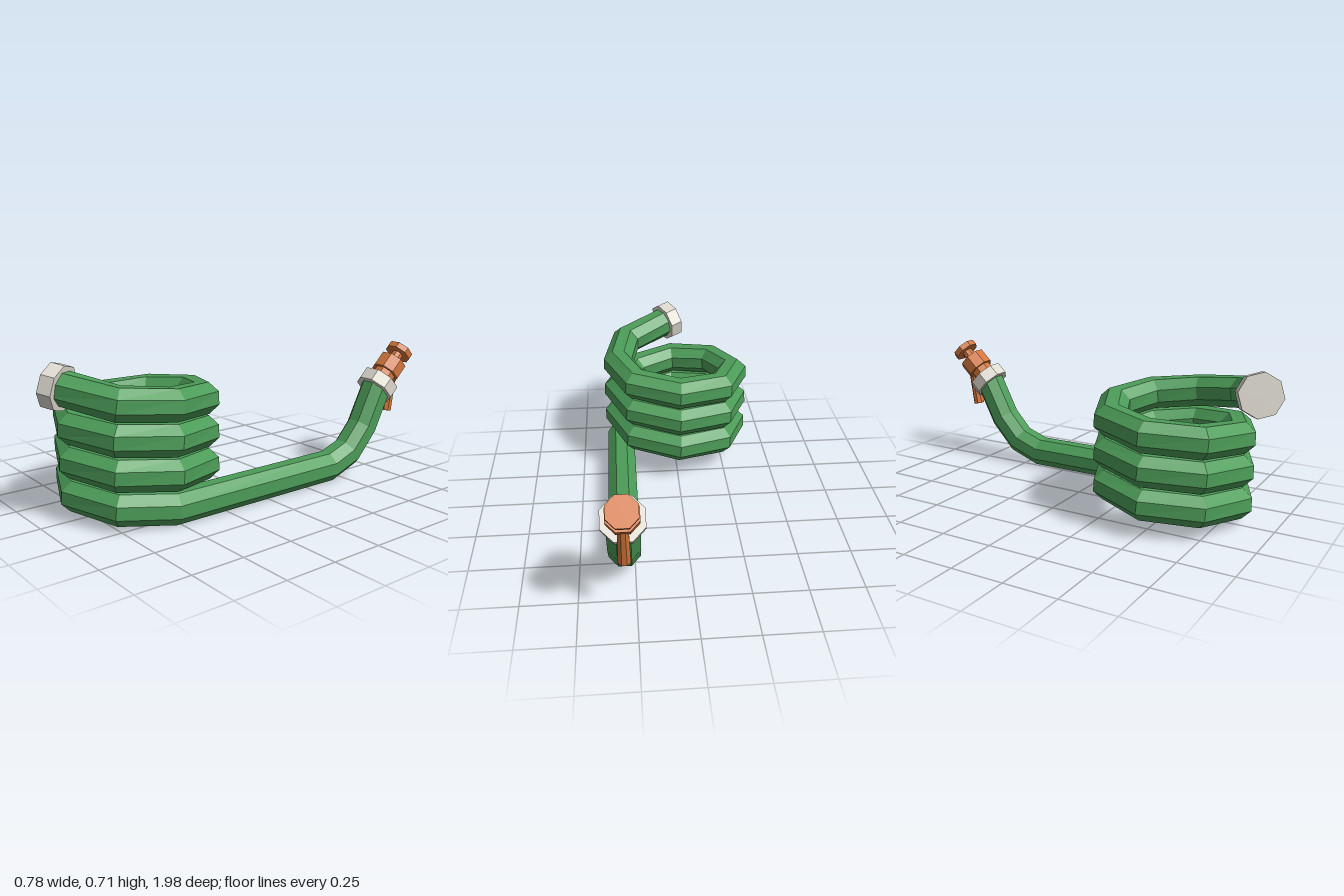
import * as THREE from 'three';

const V = (x, y, z) => new THREE.Vector3(x, y, z);
const paint = (color) => new THREE.MeshStandardMaterial({ color, flatShading: true });
const UP = V(0, 1, 0);

// Octagonal pipe with mitred corners along a polyline
function pipe(path, radius, sides) {
  const pos = [], index = [];
  path.forEach((p, i) => {
    const next = path[Math.min(i + 1, path.length - 1)];
    const prev = path[Math.max(i - 1, 0)];
    const dIn = i ? p.clone().sub(prev).normalize() : next.clone().sub(p).normalize();
    const dOut = i < path.length - 1 ? next.clone().sub(p).normalize() : dIn;
    const normal = dIn.clone().add(dOut).normalize();
    const side = dIn.clone().cross(UP).normalize();
    const up = side.clone().cross(dIn);
    for (let k = 0; k < sides; k++) {
      const a = (k + 0.5) / sides * Math.PI * 2;
      const o = side.clone().multiplyScalar(Math.cos(a) * radius).addScaledVector(up, Math.sin(a) * radius);
      o.addScaledVector(dIn, -o.dot(normal) / dIn.dot(normal)).add(p);
      pos.push(o.x, o.y, o.z);
      if (i) {
        const a1 = i * sides + k, b1 = i * sides + (k + 1) % sides;
        index.push(a1 - sides, b1 - sides, b1, a1 - sides, b1, a1);
      }
    }
  });
  const g = new THREE.BufferGeometry();
  g.setAttribute('position', new THREE.Float32BufferAttribute(pos, 3));
  g.setIndex(index);
  g.computeVertexNormals();
  return g;
}

export function createModel() {
  const model = new THREE.Group();
  const green = paint(0x4c9c58), white = paint(0xdedad0), brass = paint(0xd4763a);
  green.side = THREE.DoubleSide;

  const add = (name, geometry, material, parent = model) => {
    const m = new THREE.Mesh(geometry, material);
    m.name = name;
    parent.add(m);
    return m;
  };
  const drum = (r0, r1, h) => new THREE.CylinderGeometry(r1, r0, h, 8).rotateY(Math.PI / 8);
  const aim = (obj, at, dir) => {
    obj.position.copy(at);
    obj.quaternion.setFromUnitVectors(UP, dir.clone().normalize());
    return obj;
  };

  // Hose: raised end, straight run, three turns of coil, loose end
  const path = [
    V(0.295, 0.445, -0.765), V(0.295, 0.24, -0.66), V(0.295, 0.125, -0.555), V(0.295, 0.075, -0.42),
  ];
  for (let k = 0; k <= 24; k++) {
    const a = k * Math.PI / 4;
    path.push(V(-0.01 + 0.305 * Math.cos(a), 0.075 + 0.019 * k, 0.51 + 0.305 * Math.sin(a)));
  }
  path.push(V(0.245, 0.56, 0.745), V(0.01, 0.61, 0.89));
  add('hose', pipe(path, 0.077, 8), green);

  // Closed cap on the loose end
  aim(add('endCap', drum(0.102, 0.102, 0.066), white), V(0.008, 0.61, 0.892), V(-0.85, 0.17, 0.5));

  // Collar and tap, stacked along the tilted axis of the raised end
  const tap = new THREE.Group();
  tap.name = 'tap';
  aim(tap, V(0.295, 0.445, -0.768), V(0, 0.69, -0.72));
  model.add(tap);
  const stack = [
    ['collar', 0.1, 0.1, 0, 0.066, white],
    ['tapNeck', 0.058, 0.058, 0.03, 0.09, brass],
    ['tapBody', 0.074, 0.074, 0.078, 0.16, brass],
    ['tapStem', 0.03, 0.03, 0.155, 0.21, brass],
    ['tapHandle', 0.069, 0.069, 0.207, 0.238, brass],
  ];
  for (const [name, r0, r1, from, to, mat] of stack) {
    const start = name === 'collar' ? -0.033 : from;
    const end = name === 'collar' ? 0.033 : to;
    add(name, drum(r0, r1, end - start), mat, tap).position.y = (start + end) / 2;
  }

  // Spout hanging under the tap body
  aim(add('spout', drum(0.024, 0.029, 0.19), brass), V(0.295, 0.392, -0.861), V(0, -0.97, 0.18));
  return model;
}
